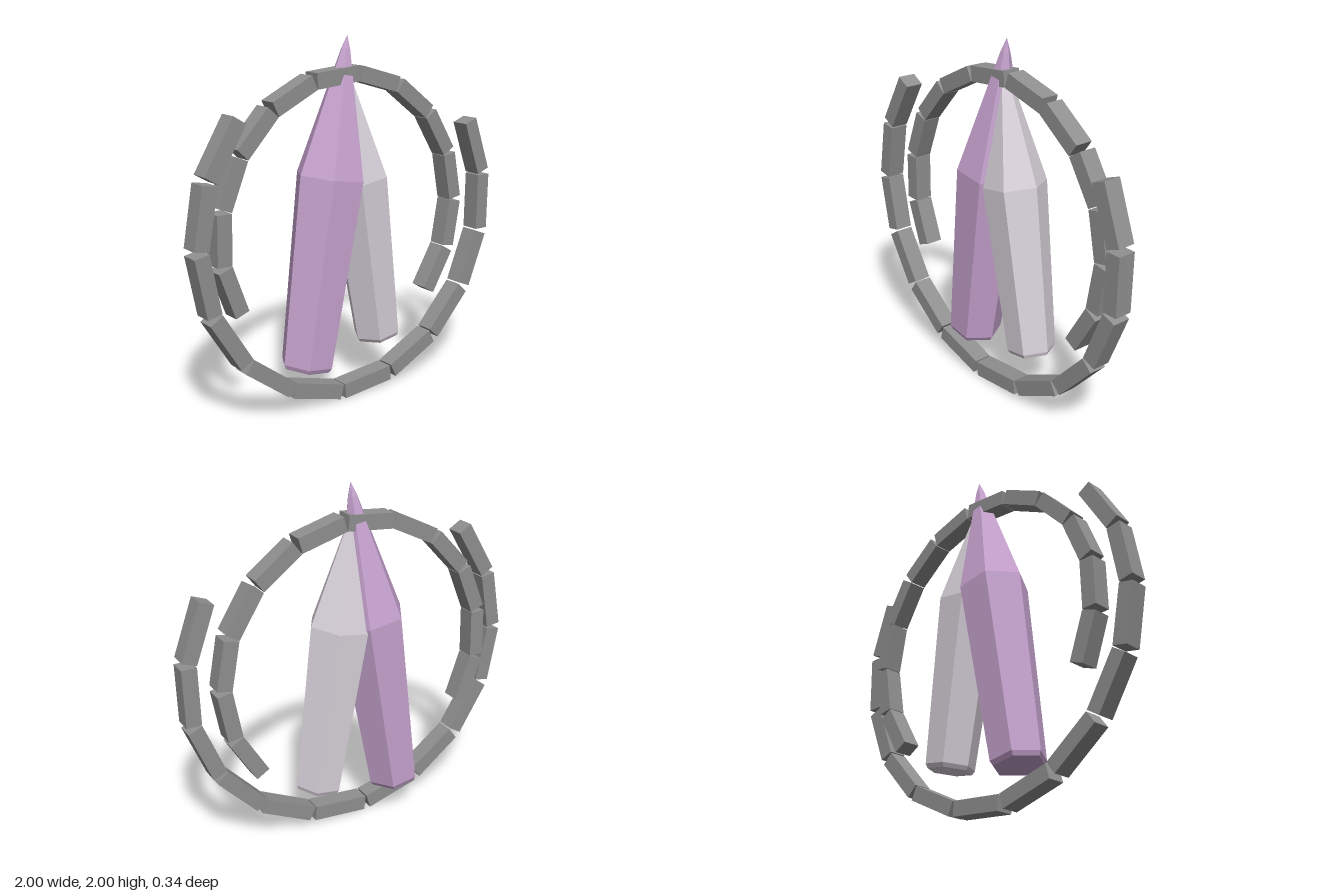
import * as THREE from 'three';

const purple = new THREE.MeshStandardMaterial({ color: 0xc8a4d0 });
purple.name = 'purple crystal';
const pale = new THREE.MeshStandardMaterial({ color: 0xd8d1da });
pale.name = 'pale crystal';
const stone = new THREE.MeshStandardMaterial({ color: 0x909090 });
stone.name = 'grey stone';

// Six-sided shard along +y, with flats facing front and back
function crystalGeometry() {
  const profile = [
    [0, 0], [0.138, 0], [0.152, 0.025], [0.196, 1.073],
    [0.046, 1.68], [0.026, 1.76], [0, 1.833],
  ].map(([r, y]) => new THREE.Vector2(r, y));
  const geometry = new THREE.LatheGeometry(profile, 6, Math.PI / 2).toNonIndexed();
  geometry.computeVertexNormals();
  return geometry;
}

function crystal(name, material, x, y, tilt, scale) {
  const mesh = new THREE.Mesh(crystalGeometry(), material);
  mesh.name = name;
  mesh.position.set(x, y, 0);
  mesh.rotation.z = THREE.MathUtils.degToRad(tilt);
  mesh.scale.setScalar(scale);
  return mesh;
}

// Open ring of twelve straight blocks, centred on the middle angle
function blockRing(name, radius, length, z, middle) {
  const ring = new THREE.Group();
  ring.name = name;
  ring.position.set(0, 1.003, z);
  const block = new THREE.BoxGeometry(0.086, length, 0.104);
  for (let k = -6; k <= 5; k++) {
    const a = THREE.MathUtils.degToRad(middle + k * 21);
    const mesh = new THREE.Mesh(block, stone);
    mesh.name = 'ringBlock';
    mesh.position.set(radius * Math.cos(a), radius * Math.sin(a), 0);
    mesh.rotation.z = a;
    ring.add(mesh);
  }
  return ring;
}

export function createModel() {
  const model = new THREE.Group();
  model.name = 'crystalEmblem';
  model.add(
    crystal('largeCrystal', purple, -0.258, 0.19, -9, 1),
    crystal('smallCrystal', pale, 0.248, 0.27, 9, 0.9),
    // Inner ring opens at the bottom, outer ring at the top
    blockRing('innerRing', 0.787, 0.272, 0, 95),
    blockRing('outerRing', 0.95, 0.328, 0.078, -85),
  );
  return model;
}
